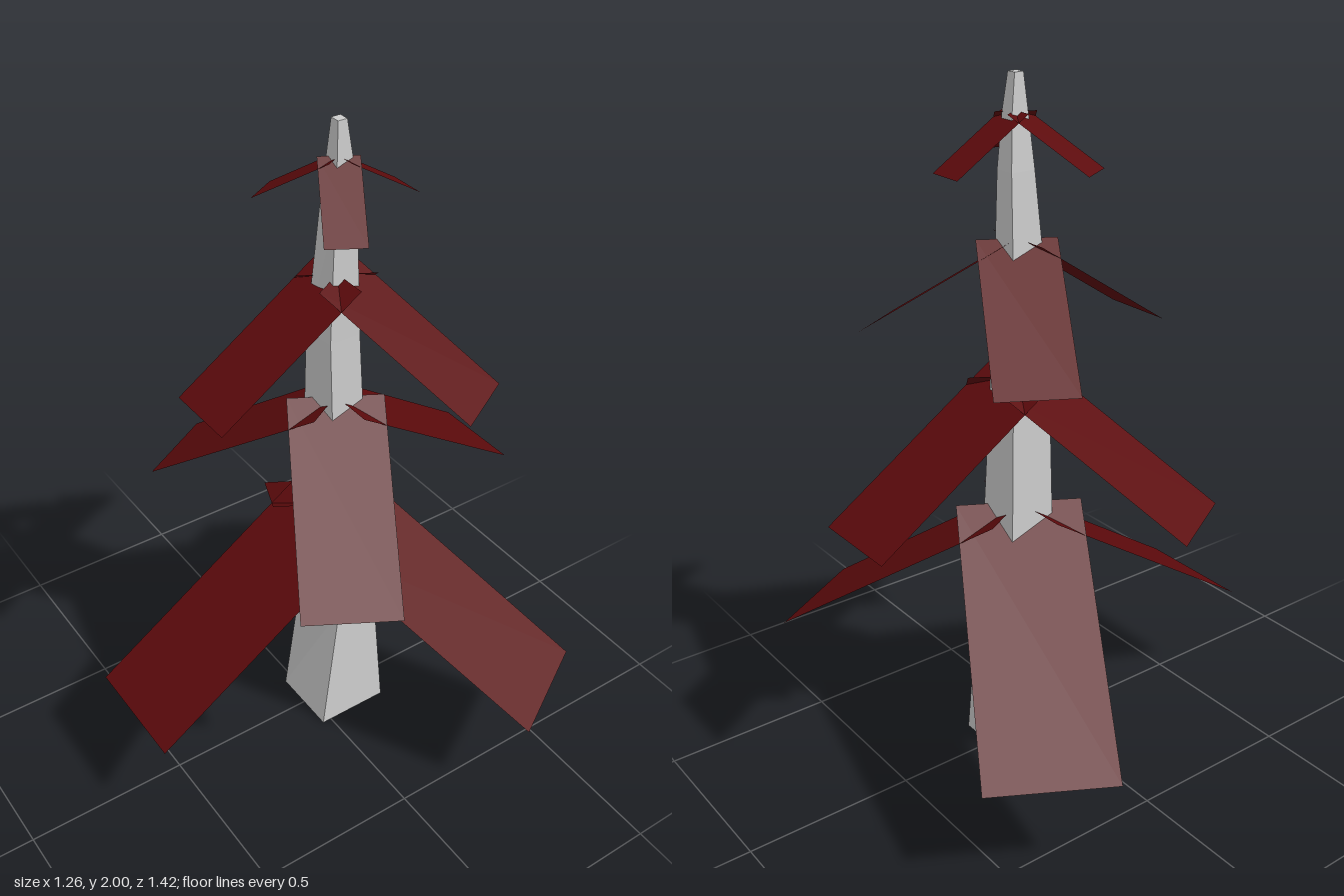
import * as THREE from 'three';

const AXIS_X = 0.08; // the trunk leans around this line

// Trunk cross-sections: height, left edge at front, left edge at back, right edge, front z, back z
const SECTIONS = [
  [0, -0.03, -0.03, 0.2, 0.11, -0.11],
  [0.43, 0.045, 0.018, 0.177, 0.083, -0.09],
  [0.8, 0.04, 0.018, 0.157, 0.06, -0.075],
  [1.38, 0.035, 0.018, 0.132, 0.037, -0.055],
  [1.75, 0.05, 0.045, 0.12, 0.03, -0.034],
  [1.9, 0.06, 0.057, 0.108, 0.022, -0.022],
  [2, 0.066, 0.066, 0.094, 0.015, -0.015],
];

// Tiers of branches: top height, bottom height, reach, width, angle of the first branch
const TIERS = [
  [0.785, 0.315, 0.713, 0.362, Math.PI],
  [1.175, 0.82, 0.543, 0.276, 0],
  [1.565, 1.278, 0.435, 0.22, Math.PI],
  [1.9, 1.76, 0.223, 0.11, 0],
];

// Four-sided trunk lofted through the sections, closed at both ends
function trunkGeometry() {
  const points = [];
  const index = [];
  for (const [y, xFront, xBack, xRight, zFront, zBack] of SECTIONS) {
    points.push(xFront, y, zFront, xRight, y, zFront, xRight, y, zBack, xBack, y, zBack);
  }
  for (let s = 0; s < SECTIONS.length - 1; s++) {
    for (let k = 0; k < 4; k++) {
      const a = s * 4 + k;
      const b = s * 4 + ((k + 1) % 4);
      index.push(a, b, b + 4, a, b + 4, a + 4);
    }
  }
  const t = (SECTIONS.length - 1) * 4;
  index.push(0, 2, 1, 0, 3, 2, t, t + 1, t + 2, t, t + 2, t + 3);
  const geometry = new THREE.BufferGeometry();
  geometry.setAttribute('position', new THREE.Float32BufferAttribute(points, 3));
  geometry.setIndex(index);
  const flat = geometry.toNonIndexed();
  flat.computeVertexNormals();
  return flat;
}

// Flat sheet running outward along +x from the axis and sloping down
function branchGeometry(drop, reach, width) {
  const length = Math.hypot(drop, reach);
  const geometry = new THREE.PlaneGeometry(length, width);
  geometry.rotateX(-Math.PI / 2);
  geometry.translate(length / 2, 0, 0);
  geometry.rotateZ(-Math.atan2(drop, reach));
  return geometry;
}

export function createModel() {
  const model = new THREE.Group();
  model.name = 'tree';

  const bark = new THREE.MeshStandardMaterial({ color: 0xcccccc, flatShading: true });
  const foliage = new THREE.MeshStandardMaterial({ color: 0x5c0a0c, side: THREE.DoubleSide });

  const trunk = new THREE.Mesh(trunkGeometry(), bark);
  trunk.name = 'trunk';
  model.add(trunk);

  // Three branches per tier, alternate tiers turned half way round
  TIERS.forEach(([top, bottom, reach, width, start], i) => {
    const tier = new THREE.Group();
    tier.name = `branchTier${i + 1}`;
    tier.position.set(AXIS_X, top, 0);
    const geometry = branchGeometry(top - bottom, reach, width);
    for (let k = 0; k < 3; k++) {
      const branch = new THREE.Mesh(geometry, foliage);
      branch.name = 'branch';
      branch.rotation.y = start + (k * Math.PI * 2) / 3;
      tier.add(branch);
    }
    model.add(tier);
  });

  return model;
}
